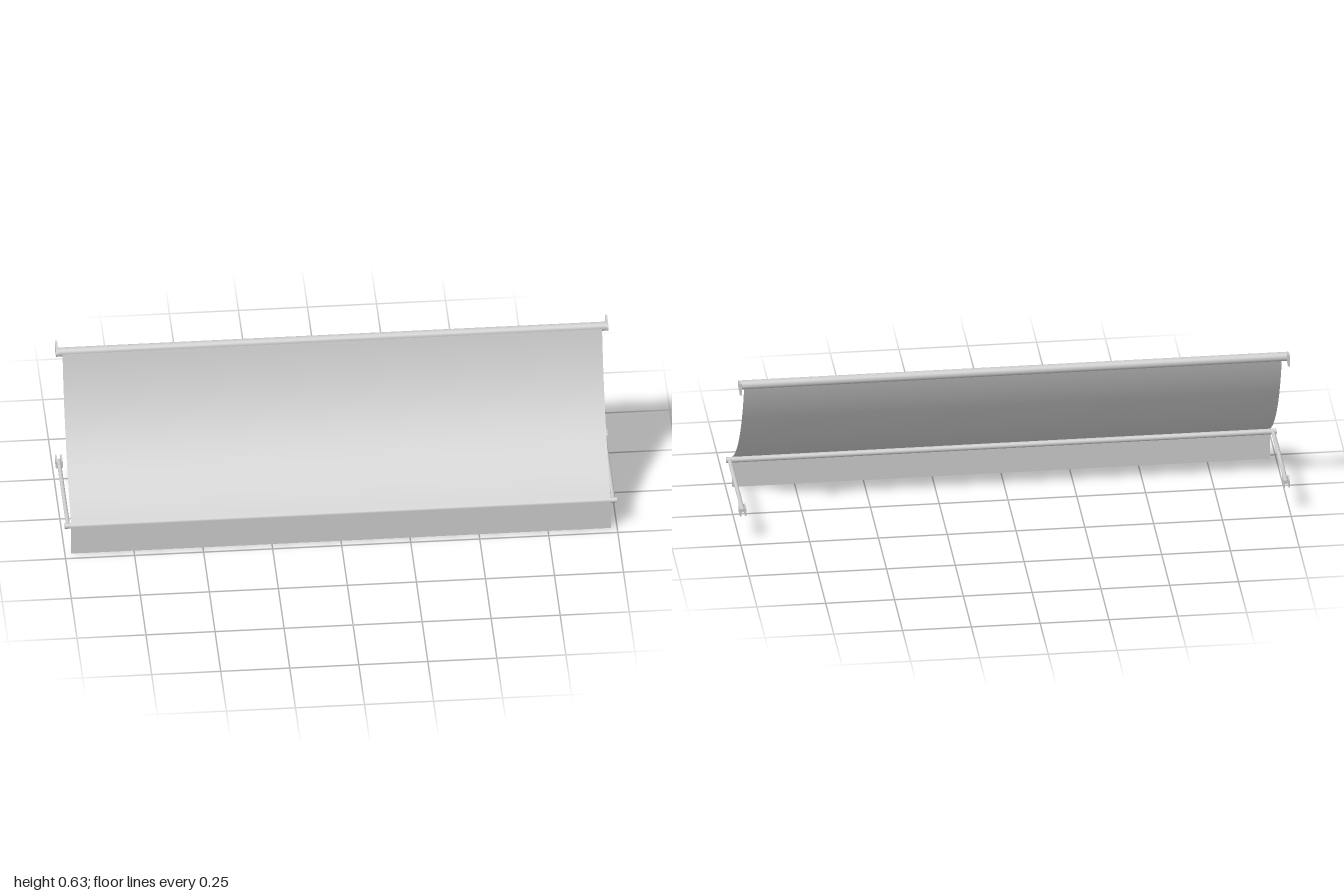
import * as THREE from 'three';

export function createModel() {
  const group = new THREE.Group();
  const grey = new THREE.MeshStandardMaterial({ color: 0xcccccc, side: THREE.DoubleSide });
  grey.name = 'pale grey';

  const add = (name, geometry, x = 0, y = 0, z = 0) => {
    const mesh = new THREE.Mesh(geometry, grey);
    mesh.name = name;
    mesh.position.set(x, y, z);
    group.add(mesh);
  };

  const HALF = 0.977;                                  // half width of the cloth
  const roll = { y: 0.611, z: -0.178, r: 0.0165 };
  const bar = { y: 0.1155, z: 0.209, r: 0.0105 };
  const rodX = (r, len) => new THREE.CylinderGeometry(r, r, len, 24).rotateZ(Math.PI / 2);

  // Rear roller and front bar
  add('roller', rodX(roll.r, 1.984), 0, roll.y, roll.z);
  add('frontBar', rodX(bar.r, 2), 0, bar.y, bar.z);

  // Cloth profile as (z, y): sagging arc, fold over the bar, hanging valance
  const foldR = bar.r + 0.0003;
  const foldStart = 1.05;                              // angle above horizontal where cloth meets bar
  const top = new THREE.Vector2(roll.z + roll.r, roll.y);
  const front = new THREE.Vector2(bar.z + foldR * Math.cos(foldStart), bar.y + foldR * Math.sin(foldStart));
  const chord = front.clone().sub(top);
  const length = chord.length();
  const sag = 0.06;
  const radius = (length * length / 4 + sag * sag) / (2 * sag);
  const up = new THREE.Vector2(-chord.y, chord.x).normalize();
  const centre = top.clone().add(front).multiplyScalar(0.5).addScaledVector(up, radius - sag);
  const a0 = Math.atan2(top.y - centre.y, top.x - centre.x);
  const a1 = Math.atan2(front.y - centre.y, front.x - centre.x);
  const sweep = Math.atan2(Math.sin(a1 - a0), Math.cos(a1 - a0));
  const profile = [];
  for (let i = 0; i <= 32; i++) {
    const a = a0 + sweep * i / 32;
    profile.push([centre.x + radius * Math.cos(a), centre.y + radius * Math.sin(a)]);
  }
  for (let i = 1; i <= 6; i++) {
    const a = foldStart * (1 - i / 6);
    profile.push([bar.z + foldR * Math.cos(a), bar.y + foldR * Math.sin(a)]);
  }
  profile.push([bar.z + foldR, 0]);

  // Sweep the profile across the width
  const cloth = new THREE.PlaneGeometry(HALF * 2, 1, 1, profile.length - 1);
  const pos = cloth.attributes.position;
  for (let i = 0; i < pos.count; i++) {
    const [z, y] = profile[Math.floor(i / 2)];
    pos.setXYZ(i, pos.getX(i), y, z);
  }
  cloth.computeVertexNormals();
  add('clothAndValance', cloth);

  // Tapered roller end plate, drawn as (-z, y)
  const plate = new THREE.Shape();
  plate.moveTo(0.218, 0.589);
  plate.lineTo(0.218, 0.634);
  plate.lineTo(0.173, 0.626);
  plate.quadraticCurveTo(0.159, 0.623, 0.159, 0.6115);
  plate.quadraticCurveTo(0.159, 0.600, 0.173, 0.597);
  plate.closePath();
  const plateGeo = new THREE.ExtrudeGeometry(plate, { depth: 0.008, bevelEnabled: false, curveSegments: 8 });
  plateGeo.rotateY(Math.PI / 2);                       // shape x becomes -z, depth becomes +x

  for (const [side, s] of [['left', 1], ['right', -1]]) {
    add(side + 'RollerBracket', plateGeo, s > 0 ? 0.992 : -1);

    // Arm from wall clevis to front bar
    const arm = new THREE.CylinderGeometry(0.0075, 0.0075, 0.41, 20).rotateX(Math.PI / 2);
    add(side + 'Arm', arm, s * 0.9875, bar.y, 0.002);

    // Open clevis: two cheeks either side of the arm
    for (const x of [0.978, 0.997])
      add(side + 'ClevisCheek', new THREE.BoxGeometry(0.006, 0.029, 0.045), s * x, bar.y, -0.1965);
  }
  return group;
}
